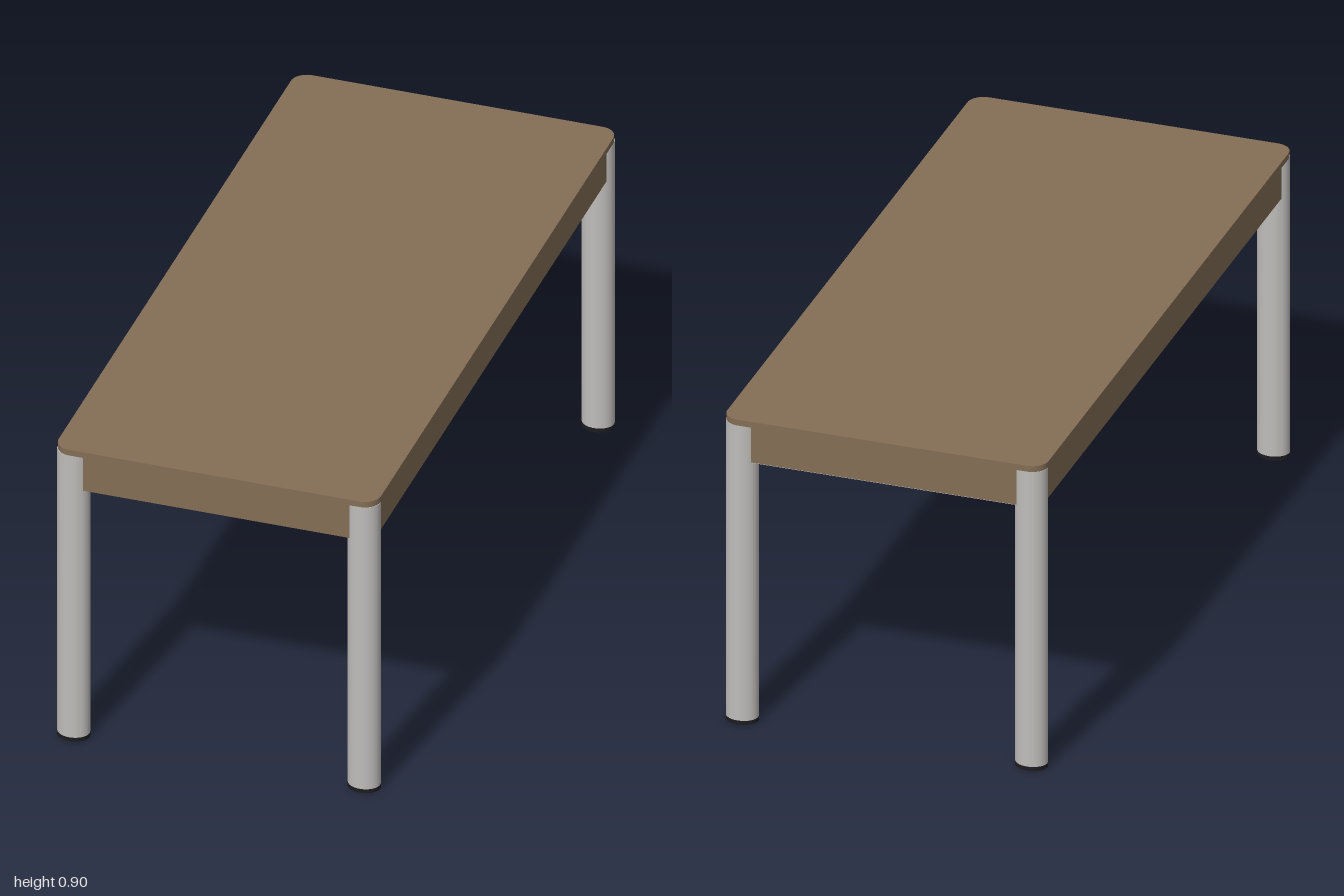
import * as THREE from 'three';

const wood = new THREE.MeshStandardMaterial({ name: 'brown wood', color: 0x846e55 });
const metal = new THREE.MeshStandardMaterial({ name: 'grey metal', color: 0xbfbdba });
const rubber = new THREE.MeshStandardMaterial({ name: 'black rubber', color: 0x1c1c20 });

const HALF_X = 0.45, HALF_Z = 1, TOP = 0.903, UNDER = 0.886, APRON_BOTTOM = 0.776;

function add(parent, name, geometry, material, x, y, z) {
  const mesh = new THREE.Mesh(geometry, material);
  mesh.name = name;
  mesh.position.set(x, y, z);
  parent.add(mesh);
  return mesh;
}

// Flat slab with rounded corners
function roundedSlab(w, d, r, thickness) {
  const s = new THREE.Shape();
  s.moveTo(-w + r, -d);
  s.lineTo(w - r, -d);
  s.absarc(w - r, -d + r, r, -Math.PI / 2, 0);
  s.lineTo(w, d - r);
  s.absarc(w - r, d - r, r, 0, Math.PI / 2);
  s.lineTo(-w + r, d);
  s.absarc(-w + r, d - r, r, Math.PI / 2, Math.PI);
  s.lineTo(-w, -d + r);
  s.absarc(-w + r, -d + r, r, Math.PI, Math.PI * 1.5);
  const g = new THREE.ExtrudeGeometry(s, { depth: thickness, bevelEnabled: false, curveSegments: 10 });
  return g.rotateX(-Math.PI / 2);
}

// Upright tube with a slightly oval section
function ovalPost(height) {
  return new THREE.CylinderGeometry(1, 1, height, 40).scale(0.0445, 1, 0.0375);
}

export function createModel() {
  const table = new THREE.Group();
  table.name = 'table';

  add(table, 'tableTop', roundedSlab(HALF_X, HALF_Z, 0.045, TOP - UNDER), wood, 0, UNDER, 0);

  // Legs with dark feet at the four corners
  const footHeight = 0.012;
  for (const sx of [-1, 1]) {
    for (const sz of [-1, 1]) {
      const leg = new THREE.Group();
      leg.name = (sz > 0 ? 'front' : 'back') + (sx > 0 ? 'Left' : 'Right') + 'Leg';
      leg.position.set(sx * 0.4055, 0, sz * 0.9625);
      add(leg, 'post', ovalPost(UNDER - footHeight), metal, 0, (UNDER + footHeight) / 2, 0);
      add(leg, 'foot', ovalPost(footHeight), rubber, 0, footHeight / 2, 0);
      table.add(leg);
    }
  }

  // Apron boards, their ends buried in the legs
  const h = UNDER - APRON_BOTTOM, t = 0.045, y = APRON_BOTTOM + h / 2;
  for (const s of [-1, 1]) {
    add(table, s > 0 ? 'frontApron' : 'backApron',
      new THREE.BoxGeometry(0.8, h, t), wood, 0, y, s * 0.9645);
    add(table, s > 0 ? 'leftApron' : 'rightApron',
      new THREE.BoxGeometry(t, h, 1.92), wood, s * 0.4145, y, 0);
  }

  // Metal strip under the back apron
  add(table, 'backRail', new THREE.BoxGeometry(0.74, 0.003, 0.04), metal, 0, APRON_BOTTOM - 0.001, -0.9645);

  return table;
}
